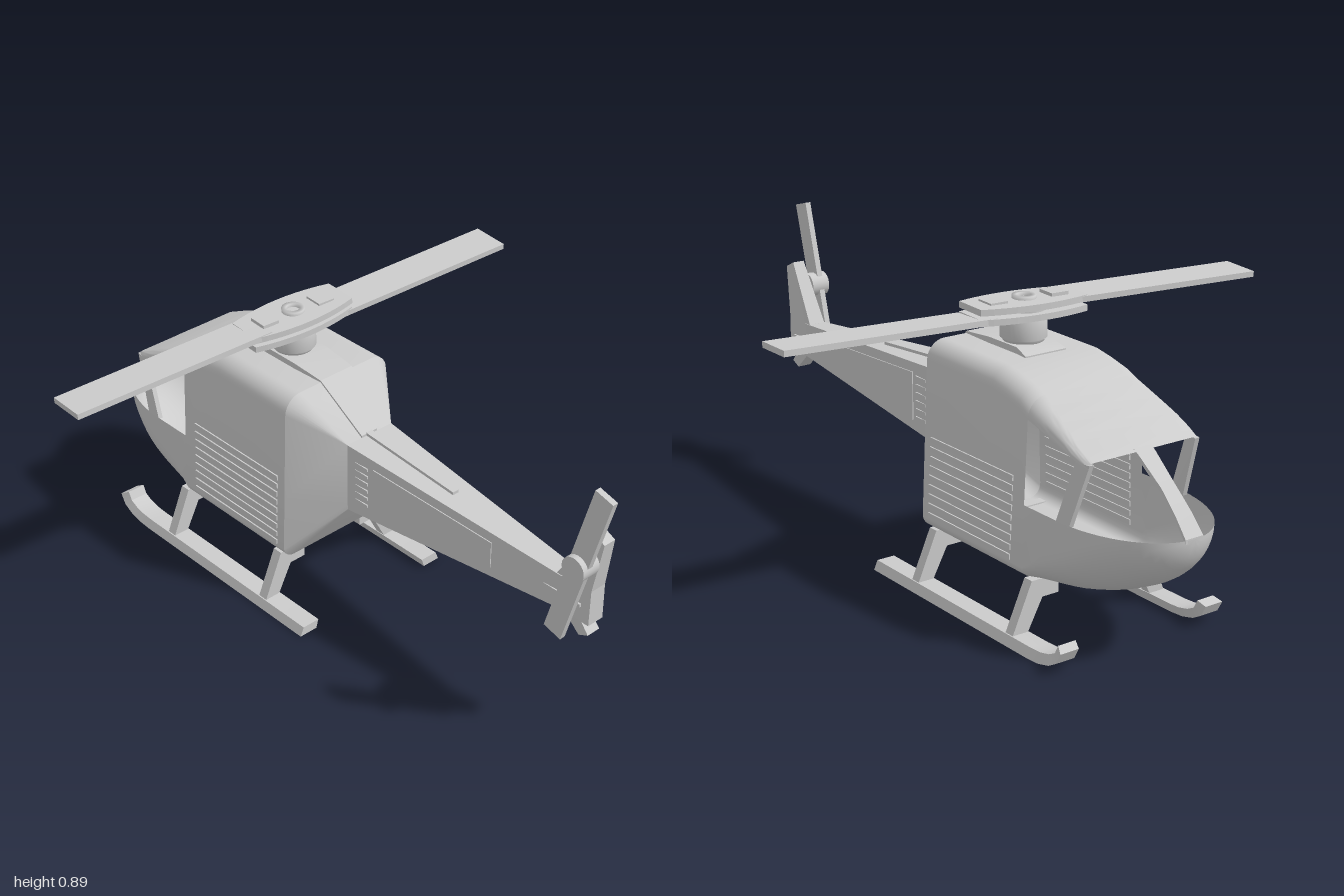
import * as THREE from 'three';
import { toCreasedNormals } from 'three/addons/utils/BufferGeometryUtils.js';

const mat = new THREE.MeshStandardMaterial({ color: 0xcccccc, side: THREE.DoubleSide });
const { lerp, clamp } = THREE.MathUtils;

function add(parent, name, geo, x = 0, y = 0, z = 0) {
  const m = new THREE.Mesh(geo, mat);
  m.name = name;
  m.position.set(x, y, z);
  parent.add(m);
  return m;
}

// Skin a list of cross-sections; closed joins each section to a loop and caps the ends
function loft(rings, closed = true, crease = 0.5) {
  const n = rings[0].length, pos = rings.flat(2), idx = [];
  for (let i = 0; i < rings.length - 1; i++) {
    for (let j = 0; j < (closed ? n : n - 1); j++) {
      const a = i * n + j, b = i * n + (j + 1) % n;
      idx.push(a, b, a + n, b, b + n, a + n);
    }
  }
  if (closed === true) {
    for (const base of [0, (rings.length - 1) * n])
      for (let j = 1; j < n - 1; j++) {
        if (base) idx.push(base, base + j, base + j + 1);
        else idx.push(base, base + j + 1, base + j);
      }
  }
  const g = new THREE.BufferGeometry();
  g.setAttribute('position', new THREE.Float32BufferAttribute(pos, 3));
  g.setIndex(idx);
  return toCreasedNormals(g, crease);
}

// Extrude an outline drawn in (z, y), centred on x = 0
function sideShape(points, thickness) {
  const s = new THREE.Shape(points.map(p => new THREE.Vector2(...p)));
  return new THREE.ExtrudeGeometry(s, { depth: thickness, bevelEnabled: false })
    .translate(0, 0, -thickness / 2).rotateY(-Math.PI / 2);
}

// Fuselage measurements
const SILL = 0.378, BACK = -0.56;
const ROOF = [[-0.1, 0.718], [-0.4, 0.716], [-0.46, 0.705], [-0.52, 0.69], [-0.6, 0.655], [-0.7, 0.61],
  [-0.8, 0.56], [-0.9, 0.482], [-0.96, 0.425], [-1, 0.378]];
function roofY(z) {
  let i = 1;
  while (i < ROOF.length - 1 && z < ROOF[i][0]) i++;
  const [z0, y0] = ROOF[i - 1], [z1, y1] = ROOF[i];
  return lerp(y0, y1, clamp((z - z0) / (z1 - z0), 0, 1));
}
const oval = (z, start) => Math.sqrt(Math.max(1e-5, 1 - Math.max(0, (start - z) / (1 + start)) ** 2));
const halfWidth = (z, y) => 0.213 * oval(z, -0.7) * (1 - 0.185 * (y - 0.2));
const bellyY = z => SILL - 0.21 * oval(z, -0.68);
const roofRadius = z => lerp(0.055, 0.015, clamp((BACK - z) / 0.24, 0, 1));

// Half arch from edge height to the end height, mirrored across x
function arch(z, yEdge, yEnd, rx, ry, taper = true) {
  const half = [], dir = Math.sign(yEnd - yEdge);
  const w = y => halfWidth(z, taper ? y : SILL);
  half.push([w(yEdge), yEdge, z]);
  for (let i = 0; i <= 8; i++) {
    const a = i / 8 * Math.PI / 2, y = yEnd - dir * ry * (1 - Math.sin(a));
    half.push([w(y) - rx * (1 - Math.cos(a)), y, z]);
  }
  return [...half, ...half.slice().reverse().map(([x, y, q]) => [-x, y, q])];
}
function tubSection(z) {
  const t = clamp((BACK - z) / 0.34, 0, 1), w = halfWidth(z, SILL), h = SILL - bellyY(z);
  return arch(z, SILL, bellyY(z), Math.min(w, lerp(0.04, w, t)), Math.min(h, lerp(0.04, h, t)), t < 0.01);
}
const upperSection = z => arch(z, SILL, roofY(z), roofRadius(z), roofRadius(z));
const boxRing = (w, y0, y1, z) => [[w, y0, z], [w, y1, z], [-w, y1, z], [-w, y0, z]];

function buildFuselage(g) {
  const zs = (a, b, n) => Array.from({ length: n + 1 }, (_, i) => lerp(a, b, i / n));
  // Lower hull and rounded nose
  const noseZ = zs(0, Math.PI / 2, 20).map(a => BACK - 0.44 * Math.sin(a));
  add(g, 'lowerHull', loft([-0.1, ...noseZ].map(tubSection), false, 0.6));
  // Closed rear cabin and the roof above the windows
  add(g, 'upperCabin', loft([-0.1, -0.4, -0.46, -0.52, BACK].map(upperSection), false, 0.6));
  add(g, 'frontRoof', loft(zs(BACK, -0.8, 8).map(z =>
    arch(z, roofY(z) - roofRadius(z) - 0.002, roofY(z), roofRadius(z), roofRadius(z))), false, 0.6));
  // Rear taper from cabin to boom
  const up = upperSection(-0.1), low = tubSection(-0.1);
  const ring = [...up, ...low.slice().reverse()];
  const small = ring.map(([x, y]) => [Math.sign(x) * Math.min(0.085, Math.abs(x)), clamp(y, 0.36, 0.583), 0.04]);
  add(g, 'rearTaper', loft([ring, small], 'open', 0.4));
  // Window pillars
  for (const s of [1, -1]) {
    const pillar = [[-0.693, -0.745, SILL - 0.005], [-0.757, -0.803, 0.556]].map(([z0, z1, y]) => {
      const a = s * halfWidth(z0, y), b = s * halfWidth(z1, y), t = s * 0.015;
      return [[a, y, z0], [b, y, z1], [b - t, y, z1], [a - t, y, z0]];
    });
    add(g, 'windowPillar', loft(pillar));
  }
  // Windshield centre strut
  add(g, 'windshieldStrut', loft(zs(-0.79, -0.998, 10).map((z, i) =>
    boxRing(0.024 + 0.006 * Math.abs(i - 5) / 5, roofY(z) - 0.012, roofY(z) + 0.001, z))));
  // Side louvres
  for (const s of [1, -1]) for (let i = 0; i < 9; i++) {
    const y = 0.215 + i * 0.028;
    add(g, 'louvre', new THREE.BoxGeometry(0.008, 0.016, 0.38), s * halfWidth(-0.3, y), y, -0.32);
  }
  // Mast fairing, rear spine and belly plug
  add(g, 'mastFairing', loft([boxRing(0.07, 0.7, 0.72, -0.385), boxRing(0.065, 0.7, 0.735, -0.34),
    boxRing(0.065, 0.7, 0.735, -0.21), boxRing(0.06, 0.69, 0.724, -0.1), boxRing(0.03, 0.56, 0.59, 0.04)]));
  add(g, 'bellyPlug', new THREE.CylinderGeometry(0.024, 0.024, 0.02, 20), 0, 0.162, -0.36);
}

function buildTail(g) {
  // Tapered boom
  const boom = z => { const t = (z - 0.04) / 0.78; return [lerp(0.085, 0.028, t), lerp(0.36, 0.418, t), lerp(0.583, 0.525, t)]; };
  add(g, 'tailBoom', loft([0.04, 0.82].map(z => boxRing(...boom(z), z))));
  // Top rib, side access panels and small vents
  add(g, 'boomRib', loft([0.03, 0.39].map(z => boxRing(0.011, boom(z)[2] - 0.01, boom(z)[2] + 0.009, z))));
  add(g, 'sidePanel', loft([0.14, 0.575].map(z => {
    const [w, a, b] = boom(z);
    return boxRing(w + 0.003, a + 0.03, b - 0.03, z);
  })));
  for (let i = 0; i < 6; i++) add(g, 'boomVent', new THREE.BoxGeometry(0.168, 0.009, 0.05), 0, 0.41 + i * 0.025, 0.095);
  // Fins
  const fin = add(g, 'upperFin', sideShape([[0.79, 0.417], [0.915, 0.417], [0.915, 0.53], [0.94, 0.69], [0.9, 0.71], [0.795, 0.527]], 0.056));
  const p = fin.geometry.attributes.position;
  for (let i = 0; i < p.count; i++) p.setX(i, p.getX(i) * lerp(1, 0.7, clamp((p.getY(i) - 0.5) / 0.2, 0, 1)));
  fin.geometry.computeVertexNormals();
  add(g, 'lowerFin', sideShape([[0.82, 0.42], [0.88, 0.42], [0.912, 0.38], [0.88, 0.365]], 0.045));
  add(g, 'tailTab', new THREE.BoxGeometry(0.068, 0.01, 0.13), 0, 0.47, 0.82);
  // Tail rotor
  const rotor = new THREE.Group();
  rotor.name = 'tailRotor';
  rotor.position.set(-0.065, 0.627, 0.9);
  rotor.rotation.x = 0.265;
  g.add(rotor);
  add(rotor, 'tailBlade', new THREE.BoxGeometry(0.018, 0.525, 0.062));
  add(rotor, 'tailHub', new THREE.CylinderGeometry(0.038, 0.038, 0.06, 24).rotateZ(Math.PI / 2), 0.004);
  add(rotor, 'tailAxle', new THREE.CylinderGeometry(0.018, 0.018, 0.06, 16).rotateZ(Math.PI / 2), 0.05);
}

function buildMainRotor(g) {
  add(g, 'mast', new THREE.LatheGeometry([[0, 0.725], [0.058, 0.725], [0.058, 0.74], [0.066, 0.745],
    [0.066, 0.805], [0.05, 0.815], [0, 0.815]].map(q => new THREE.Vector2(...q)), 32), 0, 0, -0.285);
  const rotor = new THREE.Group();
  rotor.name = 'mainRotor';
  rotor.position.set(0, 0.828, -0.285);
  rotor.rotation.y = -0.062;
  g.add(rotor);
  // Bowed hub plates
  const s = new THREE.Shape();
  s.moveTo(-0.175, -0.055);
  s.quadraticCurveTo(0, -0.105, 0.175, -0.055);
  s.lineTo(0.175, 0.055);
  s.quadraticCurveTo(0, 0.105, -0.175, 0.055);
  for (const y of [-0.023, 0.006]) {
    const plate = new THREE.ExtrudeGeometry(s, { depth: 0.018, bevelEnabled: false, curveSegments: 10 }).rotateX(-Math.PI / 2);
    add(rotor, 'hubPlate', plate, 0, y, 0).rotation.z = 0.02;
  }
  add(rotor, 'hubCore', new THREE.CylinderGeometry(0.06, 0.06, 0.03, 24));
  add(rotor, 'hubRing', new THREE.LatheGeometry([[0.02, 0.02], [0.02, 0.034], [0.034, 0.034], [0.034, 0.02]]
    .map(q => new THREE.Vector2(...q)), 24));
  // Blades and their clamps
  for (const k of [1, -1]) {
    const blade = add(rotor, 'mainBlade', new THREE.BoxGeometry(0.65, 0.017, 0.12), k * 0.443, -k * 0.006, 0);
    blade.rotation.set(k * 0.04, 0, 0.022);
    add(rotor, 'bladeClamp', new THREE.BoxGeometry(0.055, 0.01, 0.06), k * 0.1, 0.027, 0);
  }
}

function buildSkids(g) {
  for (const s of [1, -1]) {
    // Rail with upturned front
    const path = [[0.05, 0, 0], [-0.68, 0, 0], [-0.72, 0.003, 0.2], [-0.755, 0.014, 0.5], [-0.78, 0.032, 0.8], [-0.793, 0.065, 1.1]];
    add(g, 'skidRail', loft(path.map(([z, y, a]) => {
      const dy = 0.028 * Math.cos(a), dz = 0.028 * Math.sin(a);
      return [[s * 0.283, y, z - dz], [s * 0.271, y + dy, z], [s * 0.213, y + dy, z], [s * 0.222, y, z - dz]];
    }), true, 0.45));
    // Legs with foot under the belly
    for (const z of [-0.14, -0.58]) {
      const leg = new THREE.Shape([[0.275, 0.01], [0.225, 0.01], [0.168, 0.118], [0.113, 0.118], [0.113, 0.172], [0.205, 0.172]]
        .map(([x, y]) => new THREE.Vector2(s * x, y)));
      add(g, 'skidLeg', new THREE.ExtrudeGeometry(leg, { depth: 0.032, bevelEnabled: false }), 0, 0, z - 0.016);
    }
  }
}

export function createModel() {
  const model = new THREE.Group();
  model.name = 'helicopter';
  for (const [name, build] of [['fuselage', buildFuselage], ['tail', buildTail], ['rotorAssembly', buildMainRotor], ['landingSkids', buildSkids]]) {
    const part = new THREE.Group();
    part.name = name;
    build(part);
    model.add(part);
  }
  return model;
}
